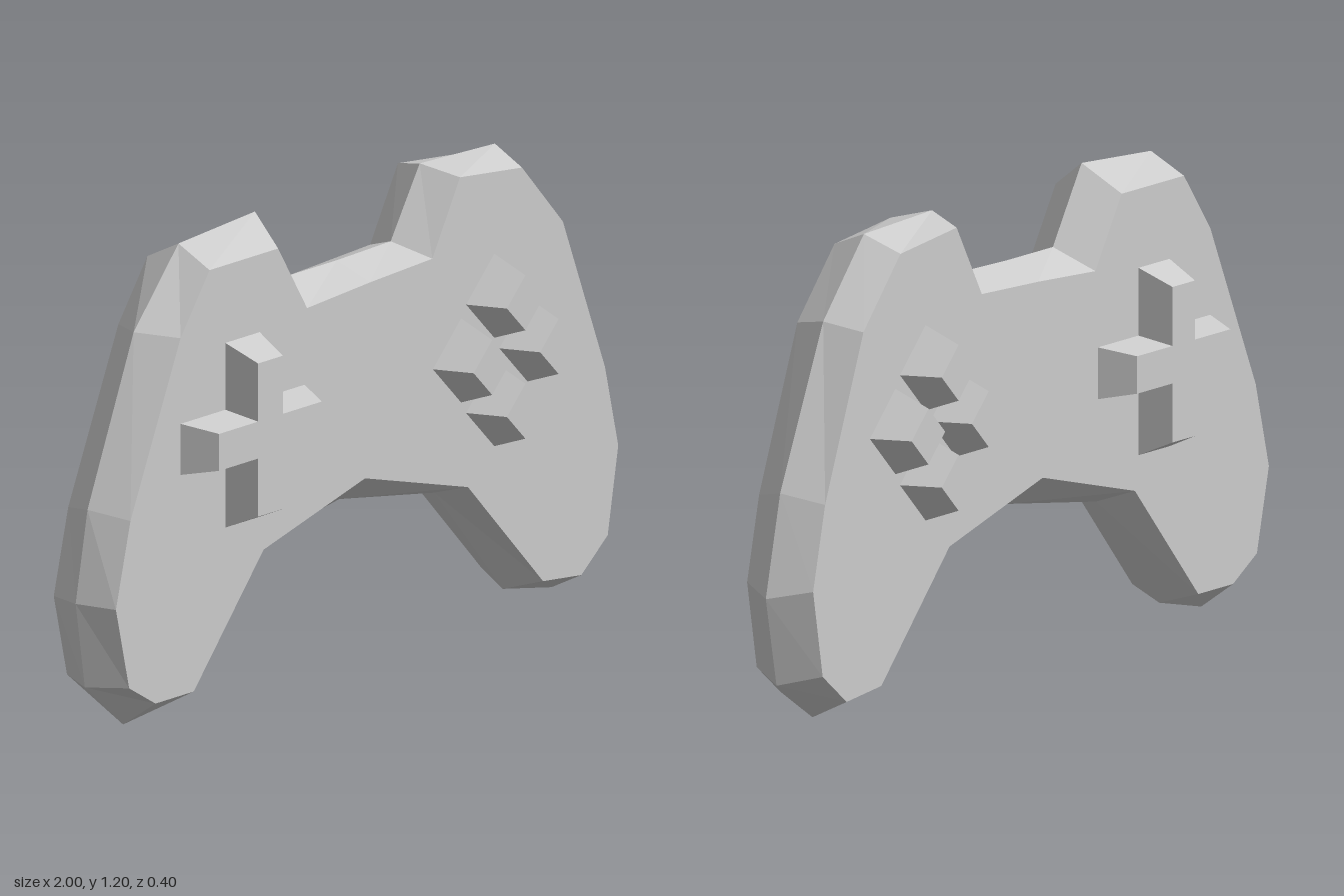
import * as THREE from 'three';

const material = new THREE.MeshStandardMaterial({ color: 0xcccccc, flatShading: true });

// Skins counter-clockwise rings [{ z, pts }], ordered from low z to high z, with optional end caps.
function loft(name, rings, capBack, capFront) {
  const pos = [];
  const put = (ring, j) => pos.push(...ring.pts[j % ring.pts.length], ring.z);
  for (let i = 0; i + 1 < rings.length; i++) {
    const lo = rings[i], hi = rings[i + 1];
    for (let j = 0; j < lo.pts.length; j++) {
      put(lo, j); put(lo, j + 1); put(hi, j + 1);
      put(lo, j); put(hi, j + 1); put(hi, j);
    }
  }
  const cap = (ring, flip) => {
    const contour = ring.pts.map(([x, y]) => new THREE.Vector2(x, y));
    for (const [a, b, c] of THREE.ShapeUtils.triangulateShape(contour, [])) {
      for (const j of flip ? [c, b, a] : [a, b, c]) put(ring, j);
    }
  };
  if (capBack) cap(rings[0], true);
  if (capFront) cap(rings[rings.length - 1], false);
  const geometry = new THREE.BufferGeometry();
  geometry.setAttribute('position', new THREE.Float32BufferAttribute(pos, 3));
  geometry.computeVertexNormals();
  const mesh = new THREE.Mesh(geometry, material);
  mesh.name = name;
  return mesh;
}

// Tapered key standing on the front (side 1) or back (side -1) face
function key(name, side, base, top, height) {
  const root = { z: side * 0.1, pts: base }, tip = { z: side * height, pts: top };
  return side > 0 ? loft(name, [root, tip], false, true) : loft(name, [tip, root], true, false);
}

// Plus outline with arm length l and arm half width w
const plus = (cx, cy, l, w) => [
  [l, -w], [l, w], [w, w], [w, l], [-w, l], [-w, w],
  [-l, w], [-l, -w], [-w, -w], [-w, -l], [w, -l], [w, -w],
].map(([x, y]) => [cx + x, cy + y]);

const diamond = (cx, cy, r) => [[cx + r, cy], [cx, cy + r], [cx - r, cy], [cx, cy - r]];

// Body outline, clockwise: rim x, rim y, face x, face y
const outline = [
  [-1.0, 0.345, -0.965, 0.34],
  [-0.955, 0.575, -0.91, 0.555],
  [-0.78, 0.99, -0.72, 0.98],
  [-0.61, 1.18, -0.61, 1.13],
  [-0.32, 1.2, -0.35, 1.13],
  [-0.2, 1.01, -0.24, 0.955],
  [-0.01, 1.01, 0, 0.97],
  [0.195, 1.015, 0.235, 0.98],
  [0.305, 1.19, 0.34, 1.165],
  [0.59, 1.18, 0.575, 1.14],
  [0.76, 0.99, 0.73, 0.97],
  [0.94, 0.59, 0.89, 0.565],
  [1.0, 0.335, 0.94, 0.355],
  [0.955, 0.11, 0.9, 0.135],
  [0.805, 0.005, 0.8, 0.055],
  [0.62, 0.04, 0.655, 0.07],
  [0.36, 0.34, 0.37, 0.37],
  [0, 0.4, -0.02, 0.475],
  [-0.38, 0.34, -0.405, 0.375],
  [-0.645, 0.04, -0.67, 0.07],
  [-0.82, 0, -0.815, 0.07],
  [-0.965, 0.125, -0.915, 0.13],
].reverse();

export function createModel() {
  const model = new THREE.Group();
  model.name = 'gameController';

  // Bevelled body: widest at the middle, flat front and back faces
  const rim = outline.map(([x, y]) => [x, y]);
  const face = outline.map(([, , x, y]) => [x, y]);
  model.add(loft('body', [
    { z: -0.1, pts: face }, { z: 0, pts: rim }, { z: 0.1, pts: face },
  ], true, true));

  // Controls repeat on both faces
  for (const side of [1, -1]) {
    const label = side > 0 ? 'front' : 'back';
    model.add(key(`${label}DirectionPad`, side,
      plus(-0.485, 0.697, 0.235, 0.065), plus(-0.485, 0.697, 0.195, 0.047), 0.19));

    const buttons = new THREE.Group();
    buttons.name = `${label}Buttons`;
    for (const [name, dx, dy] of [['top', 0, 1], ['right', 1, 0], ['bottom', 0, -1], ['left', -1, 0]]) {
      const cx = 0.47 + dx * 0.126, cy = 0.698 + dy * 0.138;
      buttons.add(key(`${name}Button`, side, diamond(cx, cy, 0.107), diamond(cx, cy, 0.07), 0.2));
    }
    model.add(buttons);
  }
  return model;
}
